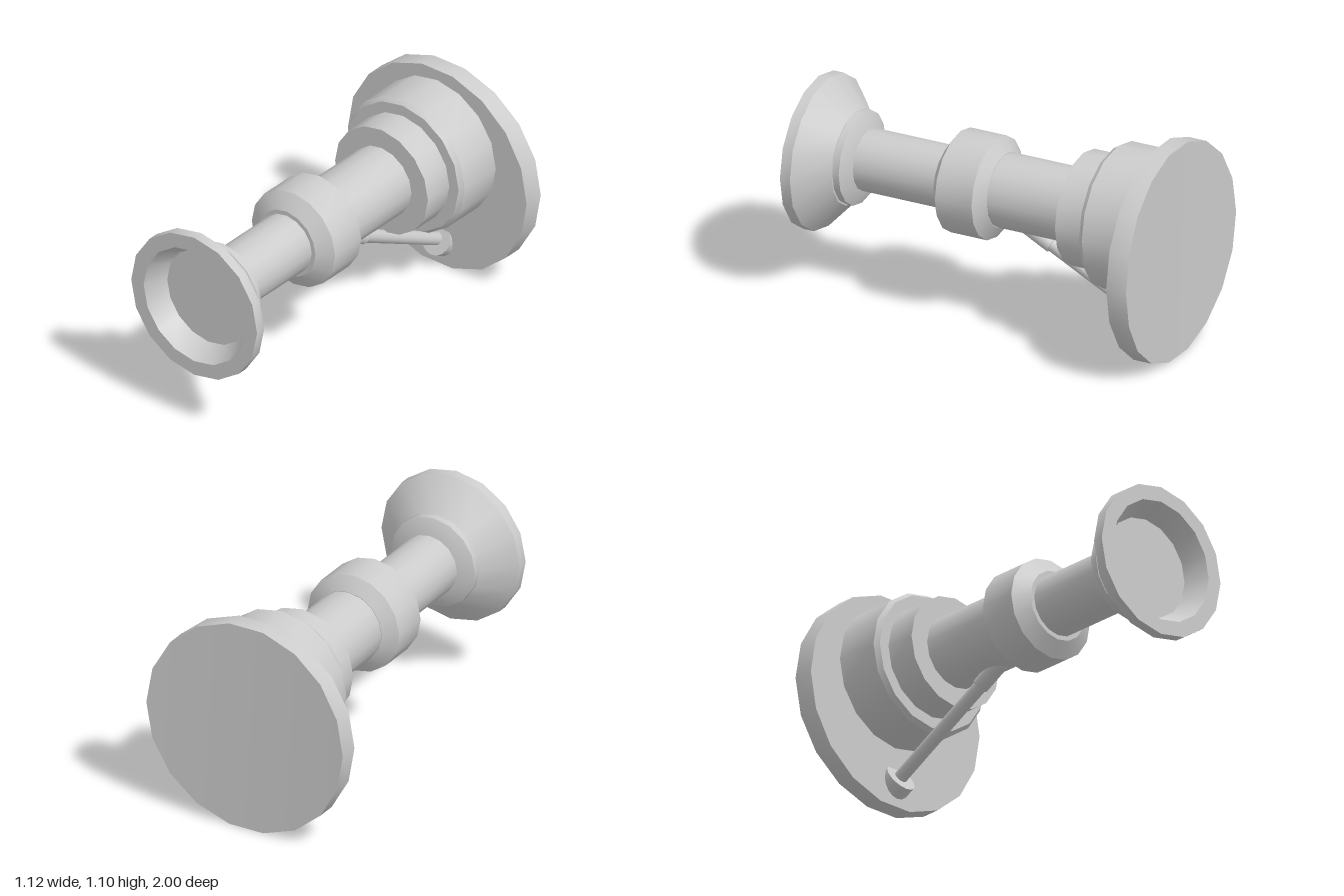
import * as THREE from 'three';
import { toCreasedNormals } from 'three/addons/utils/BufferGeometryUtils.js';

const material = new THREE.MeshStandardMaterial({ color: 0xcccccc });
const AXIS_Y = 0.677;
const CREASE = Math.PI / 6;

function addMesh(group, name, geometry) {
  const mesh = new THREE.Mesh(toCreasedNormals(geometry, CREASE), material);
  mesh.name = name;
  group.add(mesh);
  return mesh;
}

// Turned part along z; profile is a list of [radius, z] from back to front
function addTurned(group, name, profile, x = 0, y = AXIS_Y) {
  const points = profile.map(([r, z]) => new THREE.Vector2(r, z));
  const geometry = new THREE.LatheGeometry(points, 16);
  geometry.rotateX(Math.PI / 2);
  addMesh(group, name, geometry).position.set(x, y, 0);
}

// Cylinder between two points
function addRod(group, name, from, to, radius, sides = 16) {
  const a = new THREE.Vector3(...from);
  const b = new THREE.Vector3(...to);
  const dir = b.clone().sub(a);
  const geometry = new THREE.CylinderGeometry(radius, radius, dir.length(), sides);
  const mesh = addMesh(group, name, geometry);
  mesh.position.copy(a).add(b).multiplyScalar(0.5);
  mesh.quaternion.setFromUnitVectors(new THREE.Vector3(0, 1, 0), dir.normalize());
}

// 18-sided mounting plate whose back is slightly hollow across x
function plateGeometry(radius, front, back, hollow) {
  const geometry = new THREE.BoxGeometry(1, 1, 1, 9, 1, 1);
  const p = geometry.attributes.position;
  for (let i = 0; i < p.count; i++) {
    const angle = Math.PI * (0.5 - p.getX(i));
    const x = radius * Math.cos(angle);
    const y = Math.sign(p.getY(i)) * radius * Math.sin(angle);
    const bend = hollow * (1 - (x / radius) ** 2);
    p.setXYZ(i, x, y, p.getZ(i) > 0 ? front : back + bend);
  }
  return geometry;
}

export function createModel() {
  const model = new THREE.Group();
  model.name = 'wallMountedPost';

  addMesh(model, 'mountingPlate', plateGeometry(0.558, -0.89, -1, 0.015)).position.y = 0.55;

  // Stepped housing on the plate
  addTurned(model, 'rearHousing', [
    [0, -0.9], [0.366, -0.9], [0.366, -0.65], [0.348, -0.625], [0, -0.625],
  ]);
  addTurned(model, 'housingStep', [[0, -0.64], [0.29, -0.64], [0.29, -0.46], [0, -0.46]]);

  // Tubes and the collar joining them
  addTurned(model, 'rearTube', [[0, -0.5], [0.187, -0.5], [0.187, 0], [0, 0]]);
  addTurned(model, 'middleCollar', [
    [0, -0.027], [0.19, -0.027], [0.26, 0.018], [0.26, 0.22], [0.18, 0.273], [0, 0.273],
  ]);
  addTurned(model, 'frontTube', [[0, 0.2], [0.157, 0.2], [0.157, 0.78], [0, 0.78]]);
  addTurned(model, 'frontRing', [
    [0, 0.73], [0.165, 0.73], [0.238, 0.765], [0.238, 0.803], [0, 0.803],
  ]);

  // Flared cup with a recessed face
  addTurned(model, 'frontCup', [
    [0, 0.8], [0.238, 0.8], [0.393, 0.945], [0.393, 1],
    [0.315, 1], [0.257, 0.89], [0, 0.89],
  ], 0.01, 0.674);

  // Diagonal brace under the tube
  const x = 0.014;
  addRod(model, 'braceSleeve', [x, 0.554, -0.09], [x, 0.447, -0.295], 0.042);
  addRod(model, 'braceRod', [x, 0.46, -0.27], [x, 0.13, -0.91], 0.034);
  addRod(model, 'braceFoot', [x, 0.151, -0.865], [x, 0.114, -0.936], 0.083);

  return model;
}
